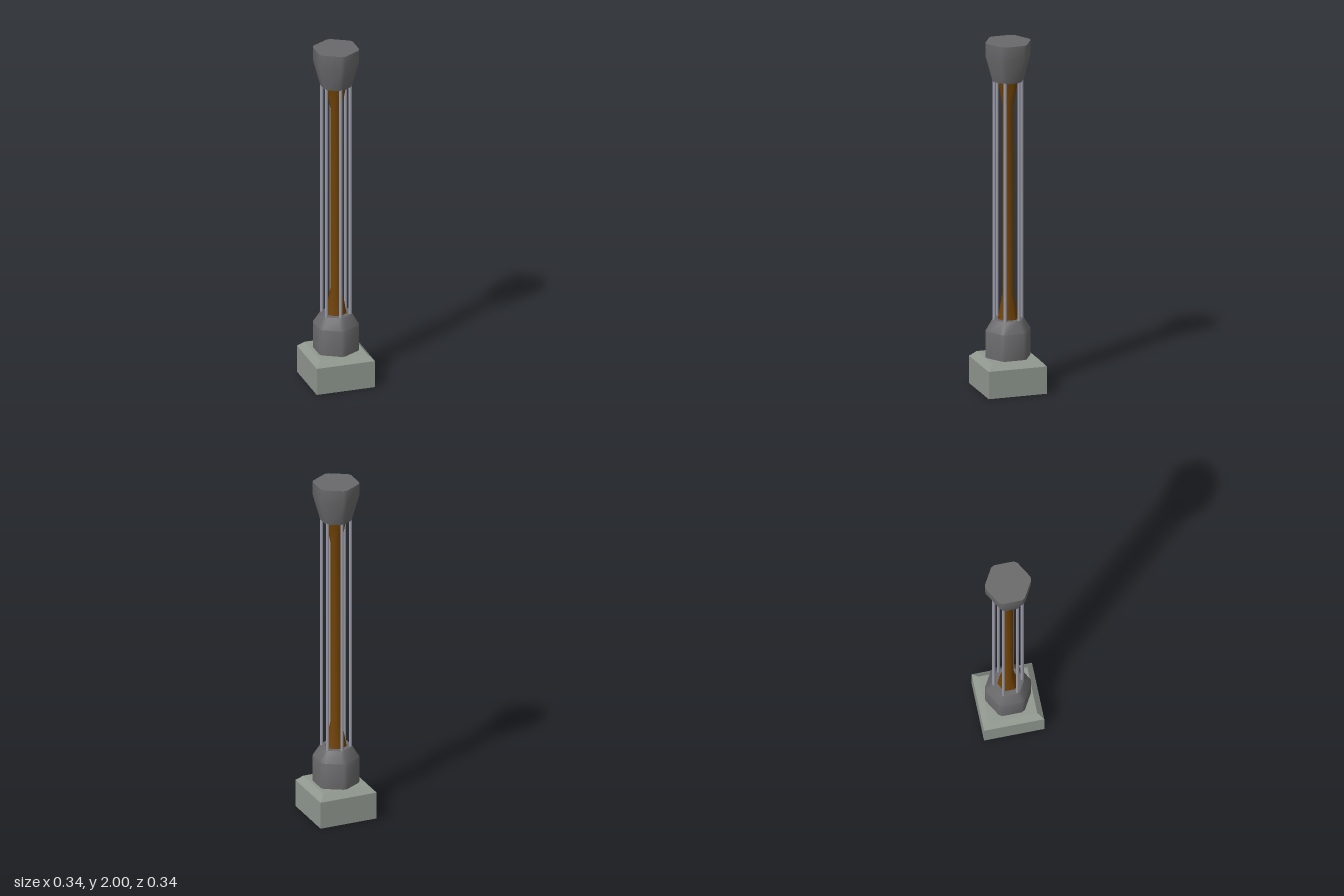
import * as THREE from 'three';
import { toCreasedNormals } from 'three/addons/utils/BufferGeometryUtils.js';

// Cross-section: hexagon with its points on +z and -z, corners cut flat
function hexRing(flat, cut) {
  const points = [];
  const d = flat / Math.cos(Math.PI / 6) - cut / Math.sqrt(3);
  for (let k = 0; k < 6; k++) {
    const a = Math.PI / 6 + k * Math.PI / 3;
    for (const s of [-cut, cut]) {
      points.push([d * Math.cos(a) - s * Math.sin(a), d * Math.sin(a) + s * Math.cos(a)]);
    }
  }
  return points;
}

// Closed solid through levels of [height, distance to flats], soft on its sides, sharp at its ends
function hexLoft(levels, cut) {
  const rings = levels.map(([y, flat]) => hexRing(flat, cut).map(([x, z]) => [x, y, z]));
  const n = rings[0].length;
  const pos = [];
  const tri = (a, b, c) => pos.push(...a, ...b, ...c);
  for (let j = 0; j < n; j++) {
    const k = (j + 1) % n;
    for (let i = 0; i < rings.length - 1; i++) {
      const lo = rings[i], hi = rings[i + 1];
      tri(lo[j], hi[j], lo[k]);
      tri(lo[k], hi[j], hi[k]);
    }
    const bottom = rings[0], top = rings[rings.length - 1];
    tri([0, bottom[0][1], 0], bottom[j], bottom[k]);
    tri([0, top[0][1], 0], top[k], top[j]);
  }
  const geo = new THREE.BufferGeometry();
  geo.setAttribute('position', new THREE.Float32BufferAttribute(pos, 3));
  return toCreasedNormals(geo, 0.6);
}

export function createModel() {
  const model = new THREE.Group();
  model.name = 'column';

  const material = (name, color) => {
    const m = new THREE.MeshStandardMaterial({ color });
    m.name = name;
    return m;
  };
  const stone = material('grey green stone', 0x90988f);
  const iron = material('dark grey iron', 0x69696b);
  const wood = material('brown core', 0x704205);
  const steel = material('light blue grey steel', 0x9a9ba8);

  const add = (name, geo, mat, parent = model) => {
    const mesh = new THREE.Mesh(geo, mat);
    mesh.name = name;
    parent.add(mesh);
    return mesh;
  };

  // Square plinth with a bevelled top
  add('plinth', new THREE.BoxGeometry(0.34, 0.157, 0.34).translate(0, 0.0785, 0), stone);
  const bevel = new THREE.CylinderGeometry(0.137 * Math.SQRT2, 0.17 * Math.SQRT2, 0.033, 4);
  add('plinthBevel', toCreasedNormals(bevel, 0.6).rotateY(Math.PI / 4).translate(0, 0.1735, 0), stone);

  // Lower and upper collars
  add('lowerCollar', hexLoft([[0.19, 0.117], [0.342, 0.117], [0.406, 0.081]], 0.011), iron);
  add('upperCollar', hexLoft([[1.777, 0.081], [1.925, 0.117], [2, 0.117]], 0.011), iron);

  // Slim core flaring at both ends
  add('core', hexLoft([[0.4, 0.054], [0.55, 0.03], [1.64, 0.03], [1.79, 0.054]], 0.006), wood);

  // Six thin round rods at the corners
  const rods = new THREE.Group();
  rods.name = 'rods';
  model.add(rods);
  const rodGeo = new THREE.CylinderGeometry(0.009, 0.009, 1.4, 16);
  for (let k = 0; k < 6; k++) {
    const a = Math.PI / 6 + k * Math.PI / 3;
    const rod = add('rod', rodGeo, steel, rods);
    rod.position.set(0.08 * Math.cos(a), 1.095, 0.08 * Math.sin(a));
  }

  return model;
}
